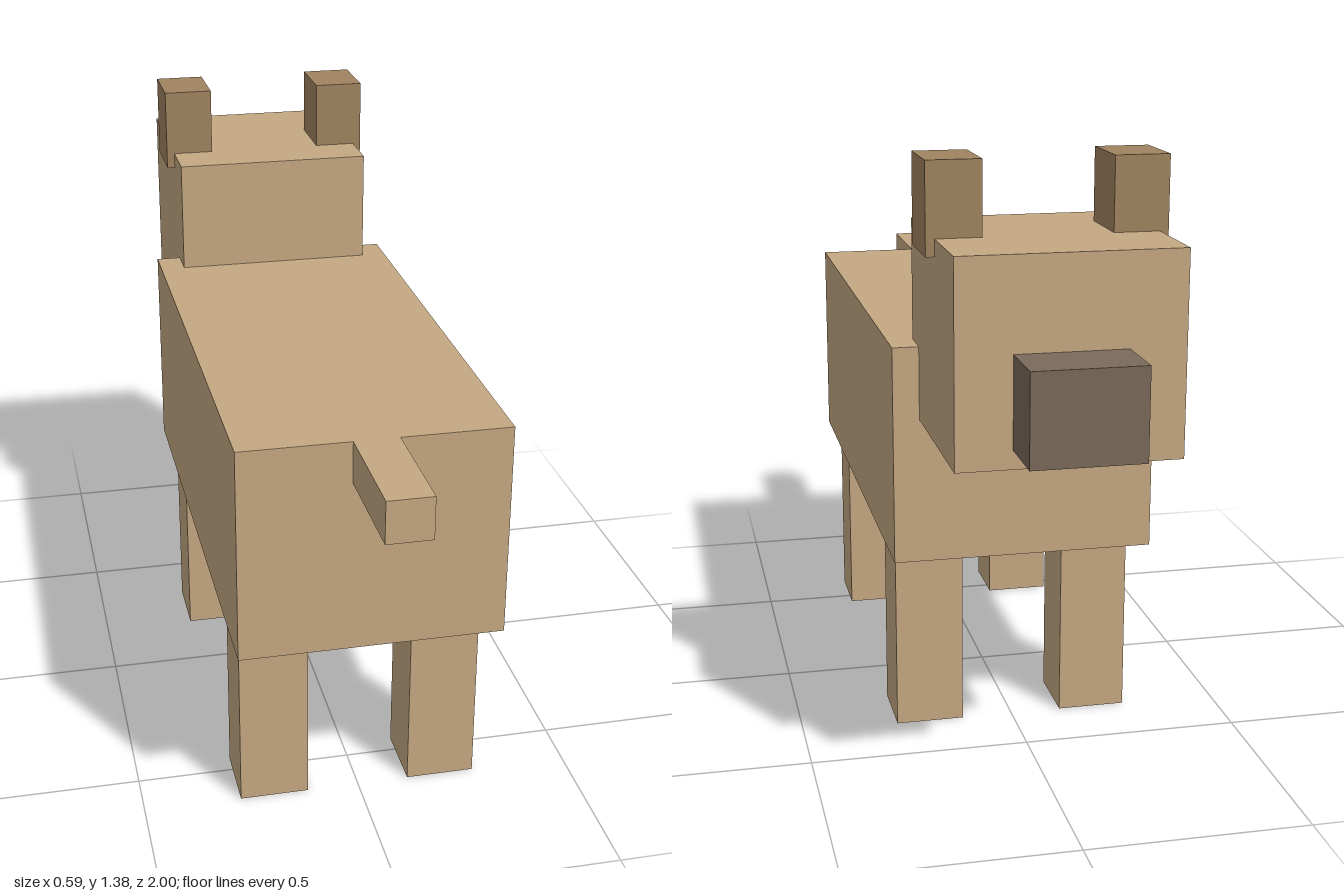
import * as THREE from 'three';

const coat = new THREE.MeshStandardMaterial({ color: 0xc4a882 });
const earCoat = new THREE.MeshStandardMaterial({ color: 0xa08360 });
const muzzle = new THREE.MeshStandardMaterial({ color: 0x7a6a5a });

// Box given by its extents along each axis
function block(name, material, [x0, x1], [y0, y1], [z0, z1]) {
  const mesh = new THREE.Mesh(new THREE.BoxGeometry(x1 - x0, y1 - y0, z1 - z0), material);
  mesh.position.set((x0 + x1) / 2, (y0 + y1) / 2, (z0 + z1) / 2);
  mesh.name = name;
  return mesh;
}

export function createModel() {
  const model = new THREE.Group();
  model.name = 'blockDog';

  // Trunk and tail
  model.add(block('body', coat, [-0.297, 0.297], [0.45, 0.945], [-0.46, 0.73]));
  model.add(block('tail', coat, [-0.05, 0.05], [0.85, 0.945], [0.73, 1]));

  // Head and snout, pointing to -z
  model.add(block('head', coat, [-0.238, 0.238], [0.78, 1.215], [-0.86, -0.38]));
  model.add(block('snout', muzzle, [-0.119, 0.119], [0.82, 1.016], [-1, -0.86]));

  // Mirrored ears and legs
  for (const side of [-1, 1]) {
    const span = (a, b) => (side > 0 ? [a, b] : [-b, -a]);
    model.add(block('ear', earCoat, span(0.139, 0.257), [1.178, 1.375], [-0.66, -0.503]));
    model.add(block('frontLeg', coat, span(0.119, 0.277), [0, 0.45], [-0.34, -0.182]));
    model.add(block('backLeg', coat, span(0.119, 0.277), [0, 0.45], [0.456, 0.614]));
  }
  return model;
}
